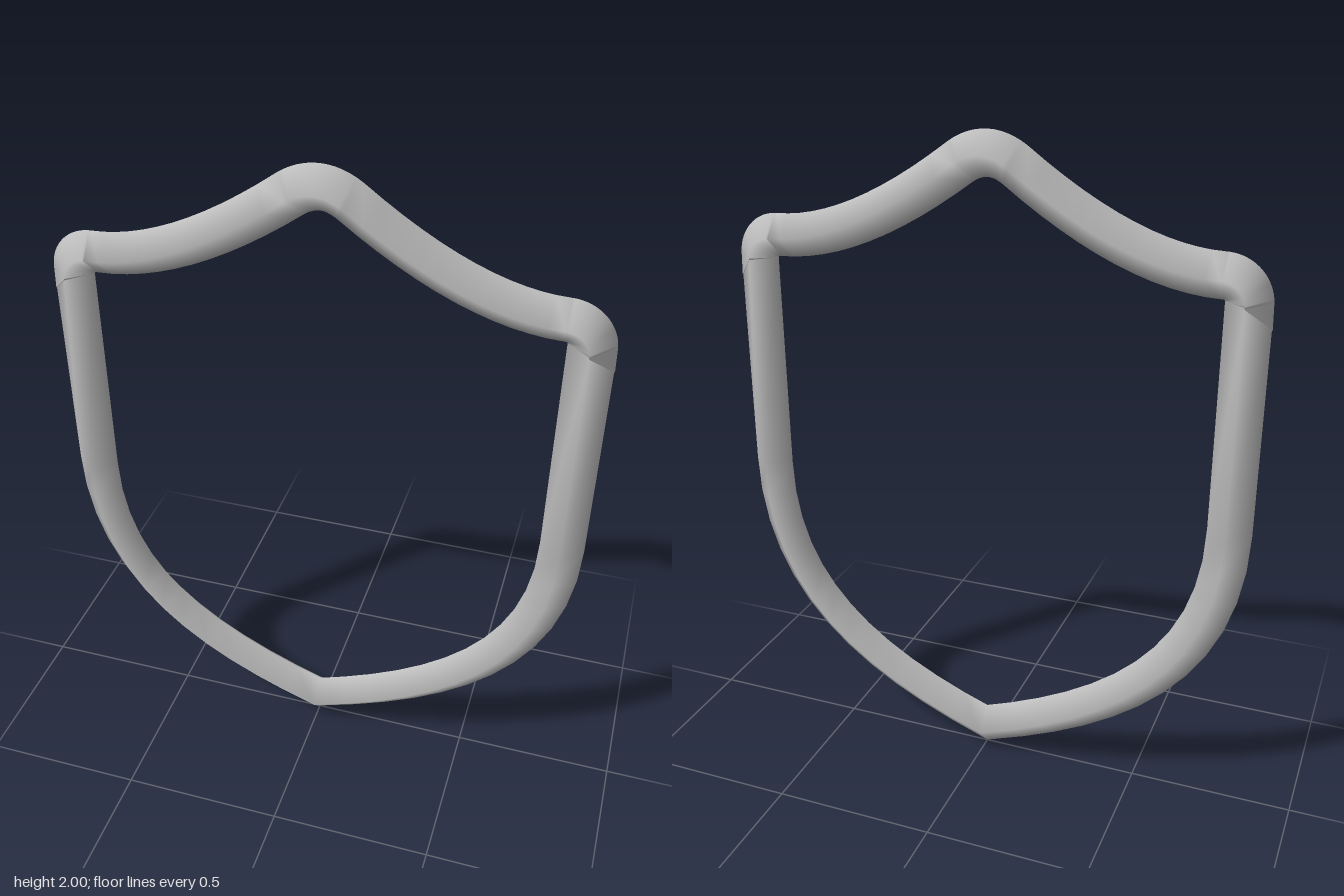
import * as THREE from 'three';

const RADIUS = 0.065;
const SIDES = 4; // diamond section, smoothly shaded

// Half of the centreline, from the bottom point up the left side to the peak
function halfOutline() {
  const path = new THREE.Path();
  path.moveTo(0, 0.069);
  path.bezierCurveTo(0.44, 0.22, 0.745, 0.45, 0.745, 0.91);
  path.lineTo(0.745, 1.585);
  path.absarc(0.675, 1.585, 0.07, 0, Math.PI / 2, false);
  path.quadraticCurveTo(0.42, 1.655, 0.08, 1.908);
  path.quadraticCurveTo(0, 1.962, -0.08, 1.908);
  return path.getPoints(12).filter((p) => p.x > -0.001);
}

// Sweep the diamond section round a closed flat loop, mitred at each point
function sweepLoop(points) {
  const n = points.length;
  const positions = [];
  const indices = [];
  points.forEach((p, i) => {
    const before = p.clone().sub(points[(i + n - 1) % n]).normalize();
    const after = points[(i + 1) % n].clone().sub(p).normalize();
    const along = before.clone().add(after).normalize();
    const spread = RADIUS / along.dot(after);
    for (let j = 0; j < SIDES; j++) {
      const a = (j / SIDES) * Math.PI * 2;
      const out = Math.cos(a) * spread;
      positions.push(p.x + along.y * out, p.y - along.x * out, Math.sin(a) * RADIUS);
      const k = (j + 1) % SIDES;
      const here = i * SIDES;
      const next = ((i + 1) % n) * SIDES;
      indices.push(here + j, next + j, here + k, next + j, next + k, here + k);
    }
  });
  const geometry = new THREE.BufferGeometry();
  geometry.setAttribute('position', new THREE.Float32BufferAttribute(positions, 3));
  geometry.setIndex(indices);
  geometry.computeVertexNormals();
  return geometry;
}

export function createModel() {
  const group = new THREE.Group();
  group.name = 'shieldOutline';

  const grey = new THREE.MeshStandardMaterial({ color: 0xc4c4c4 });
  grey.name = 'light grey';

  // Mirror the half outline, keeping the bottom point and peak once each
  const left = halfOutline();
  const right = left
    .filter((p) => p.x > 0.001)
    .reverse()
    .map((p) => new THREE.Vector2(-p.x, p.y));

  const frame = new THREE.Mesh(sweepLoop([...left, ...right]), grey);
  frame.name = 'shieldFrame';
  group.add(frame);
  return group;
}
